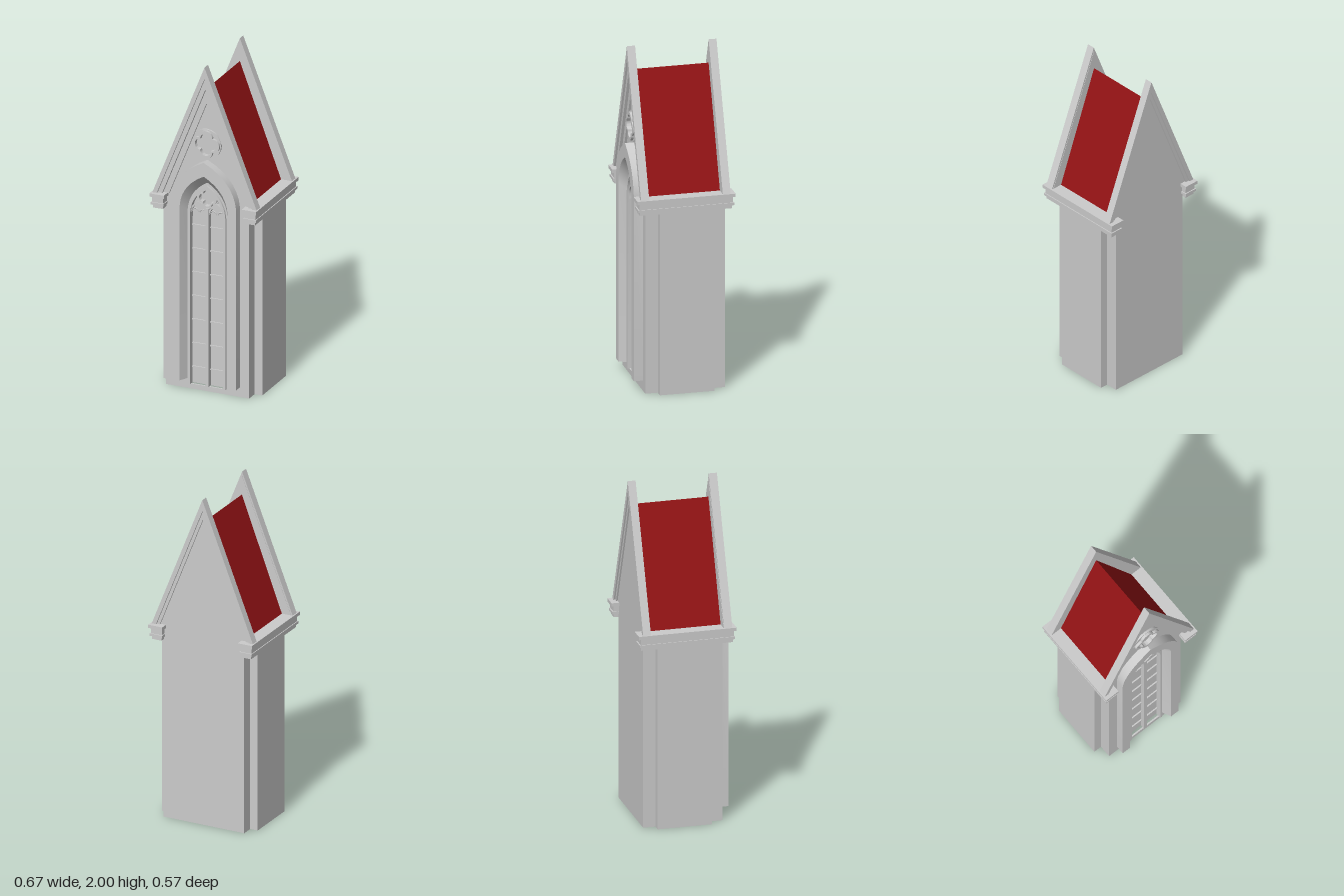
import * as THREE from 'three';
import { toCreasedNormals } from 'three/addons/utils/BufferGeometryUtils.js';

const stone = new THREE.MeshStandardMaterial({ color: 0xcccccc, side: THREE.DoubleSide });
const tiles = new THREE.MeshStandardMaterial({ color: 0x931315, side: THREE.DoubleSide });

const EAVES = 1.18, APEX = 2, SLOPE = (APEX - EAVES) / 0.325;

function add(parent, name, geometry, material = stone) {
  const mesh = new THREE.Mesh(geometry, material);
  mesh.name = name;
  parent.add(mesh);
  return mesh;
}

const box = (w, h, d, x, y, z) => new THREE.BoxGeometry(w, h, d).translate(x, y, z);

// Outline given as [x, y] pairs or Vector2s
const toShape = (pts) => new THREE.Shape(pts.map((p) => (Array.isArray(p) ? new THREE.Vector2(...p) : p)));

// Extrude a shape between two z planes
function slab(shape, z0, z1) {
  const g = new THREE.ExtrudeGeometry(shape, { depth: z1 - z0, bevelEnabled: false, curveSegments: 10 });
  return toCreasedNormals(g.translate(0, 0, z0), 0.6);
}

// Pointed arch outline, from bottom right over the apex to bottom left
function archPoints(w, bottom, spring, apex, cx = 0, segments = 7) {
  const curve = new THREE.QuadraticBezierCurve(
    new THREE.Vector2(w, spring),
    new THREE.Vector2(w * 0.93, spring + (apex - spring) * 0.66),
    new THREE.Vector2(0, apex));
  const right = [new THREE.Vector2(w, bottom), ...curve.getPoints(segments)];
  const left = right.slice(0, -1).reverse().map((p) => new THREE.Vector2(-p.x, p.y));
  return [...right, ...left].map((p) => new THREE.Vector2(p.x + cx, p.y));
}

function archBand(outer, inner, z0, z1) {
  return slab(toShape([...outer, ...inner.slice().reverse()]), z0, z1);
}

// Four-lobed outline made of half circles
function quatrefoil(d, cy, Type = THREE.Shape) {
  const path = new Type();
  for (let i = 0; i < 4; i++) {
    const a = (i * Math.PI) / 2;
    path.absarc(Math.cos(a) * d, cy + Math.sin(a) * d, d, a - Math.PI / 2, a + Math.PI / 2, false);
  }
  return path;
}

// Round rosette: ring with a raised four-lobed moulding
function rosette(parent, name, cy, r, z0, z1) {
  const group = new THREE.Group();
  group.name = name;
  const ring = new THREE.Shape().absarc(0, cy, r, 0, Math.PI * 2, false);
  ring.holes.push(quatrefoil(r * 0.42, cy, THREE.Path));
  add(group, 'rosetteRing', slab(ring, z0, (z0 + z1) / 2));
  const lobes = quatrefoil(r * 0.47, cy);
  lobes.holes.push(quatrefoil(r * 0.37, cy, THREE.Path));
  add(group, 'rosetteLobes', slab(lobes, z0, z1));
  parent.add(group);
}

// Sweep a profile along nested arches: one arch outline and z per profile point
function archFrame(arches, zs) {
  const pos = [];
  const at = (i, j) => [arches[j][i].x, arches[j][i].y, zs[j]];
  const quad = (a, b, c, d) => pos.push(...a, ...b, ...c, ...a, ...c, ...d);
  const last = arches[0].length - 1;
  for (let i = 0; i < last; i++) {
    for (let j = 0; j < arches.length - 1; j++) {
      quad(at(i, j), at(i + 1, j), at(i + 1, j + 1), at(i, j + 1));
    }
  }
  quad(at(0, 0), at(0, 1), at(0, 2), at(0, 3));
  quad(at(last, 3), at(last, 2), at(last, 1), at(last, 0));
  const g = new THREE.BufferGeometry();
  g.setAttribute('position', new THREE.Float32BufferAttribute(pos, 3));
  return toCreasedNormals(g, 0.5);
}

// Inverted V band following the gable slope, between two apex heights
function gableBand(a0, a1, z0, z1) {
  const x0 = (a0 - EAVES) / SLOPE, x1 = (a1 - EAVES) / SLOPE;
  return slab(toShape([[0, a0], [-x0, EAVES], [-x1, EAVES], [0, a1], [x1, EAVES], [x0, EAVES]]), z0, z1);
}

const wallShape = () => toShape([[-0.26, 0], [0.26, 0], [0.26, EAVES], [0.315, EAVES], [0, 1.975], [-0.315, EAVES], [-0.26, EAVES]]);

export function createModel() {
  const model = new THREE.Group();
  model.name = 'gabledChapelBay';

  // Front and back walls
  const inner = archPoints(0.115, 0.03, 1.08, 1.26);
  const front = wallShape();
  front.holes.push(new THREE.Path(inner));
  add(model, 'frontWall', slab(front, 0.214, 0.223));
  add(model, 'backWall', slab(wallShape(), -0.242, -0.214));

  for (const s of [-1, 1]) {
    // Side wall, stepped back at both corners
    const line = [[0.26, -0.22], [0.26, -0.15], [0.308, -0.15], [0.308, 0.17], [0.26, 0.17], [0.26, 0.24]];
    const back = [[0.252, 0.24], [0.252, 0.162], [0.3, 0.162], [0.3, -0.142], [0.252, -0.142], [0.252, -0.22]];
    const wall = new THREE.ExtrudeGeometry(
      toShape([...line, ...back].map(([x, y]) => [s * x, y])), { depth: 1.1, bevelEnabled: false });
    add(model, s > 0 ? 'leftWall' : 'rightWall', wall.rotateX(-Math.PI / 2));

    // Stepped cornice along the eaves
    const cornice = new THREE.Group();
    cornice.name = s > 0 ? 'leftCornice' : 'rightCornice';
    for (const [y0, y1, hx, hz] of [
      [1.09, 1.11, 0.031, 0.27], [1.11, 1.125, 0.04, 0.28], [1.125, 1.16, 0.035, 0.273], [1.16, EAVES, 0.045, 0.287],
    ]) {
      add(cornice, 'corniceStep', box(hx * 2, y1 - y0, hz * 2, s * 0.288, (y0 + y1) / 2, 0));
    }
    model.add(cornice);
  }

  // Roof
  add(model, 'roof', slab(toShape([[0, 1.86], [-0.257, EAVES], [-0.25, EAVES], [0, 1.84], [0.25, EAVES], [0.257, EAVES]]), -0.216, 0.216), tiles);

  // Gable copings with stepped mouldings
  add(model, 'frontCoping', gableBand(2, 1.93, 0.216, 0.264));
  add(model, 'frontCopingStep', gableBand(1.93, 1.86, 0.22, 0.252));
  add(model, 'frontCopingInnerStep', gableBand(1.86, 1.77, 0.22, 0.236));
  add(model, 'backCoping', gableBand(2, 1.93, -0.26, -0.214));
  add(model, 'backCopingStep', gableBand(1.93, 1.88, -0.251, -0.22));
  rosette(model, 'gableRosette', 1.52, 0.09, 0.22, 0.25);

  // Projecting pointed window surround with a splayed inner face
  add(model, 'windowSurround', archFrame([
    archPoints(0.203, 0.06, 1.16, 1.42),
    archPoints(0.203, 0.06, 1.16, 1.42),
    archPoints(0.15, 0.06, 1.13, 1.335),
    archPoints(0.115, 0.06, 1.08, 1.26),
  ], [0.22, 0.275, 0.275, 0.205]));

  // Window pane, ribs and mullion
  const win = new THREE.Group();
  win.name = 'window';
  add(win, 'pane', new THREE.ShapeGeometry(toShape(archPoints(0.118, 0.03, 1.08, 1.264))).translate(0, 0, 0.2));
  add(win, 'outerRib', archBand(archPoints(0.117, 0.03, 1.08, 1.263), archPoints(0.103, 0.03, 1.08, 1.243), 0.195, 0.235));
  add(win, 'mullion', box(0.02, 1.09, 0.04, 0, 0.575, 0.21));
  for (let i = 0; i < 7; i++) {
    add(win, 'glazingBar', box(0.21, 0.007, 0.016, 0, 0.13 + i * 0.145, 0.2));
  }

  // Two cusped lancet heads below a rosette
  for (const s of [-1, 1]) {
    const cx = s * 0.056;
    add(win, 'lancetHead', archBand(
      archPoints(0.054, 1.05, 1.08, 1.155, cx), archPoints(0.045, 1.05, 1.08, 1.14, cx), 0.195, 0.224));
    for (const t of [-1, 1]) {
      const cusp = new THREE.TorusGeometry(0.02, 0.004, 6, 10, Math.PI);
      add(win, 'lancetCusp', cusp.translate(cx + t * 0.024, 1.085, 0.212));
    }
  }
  rosette(win, 'windowRosette', 1.185, 0.066, 0.195, 0.232);
  model.add(win);

  return model;
}
